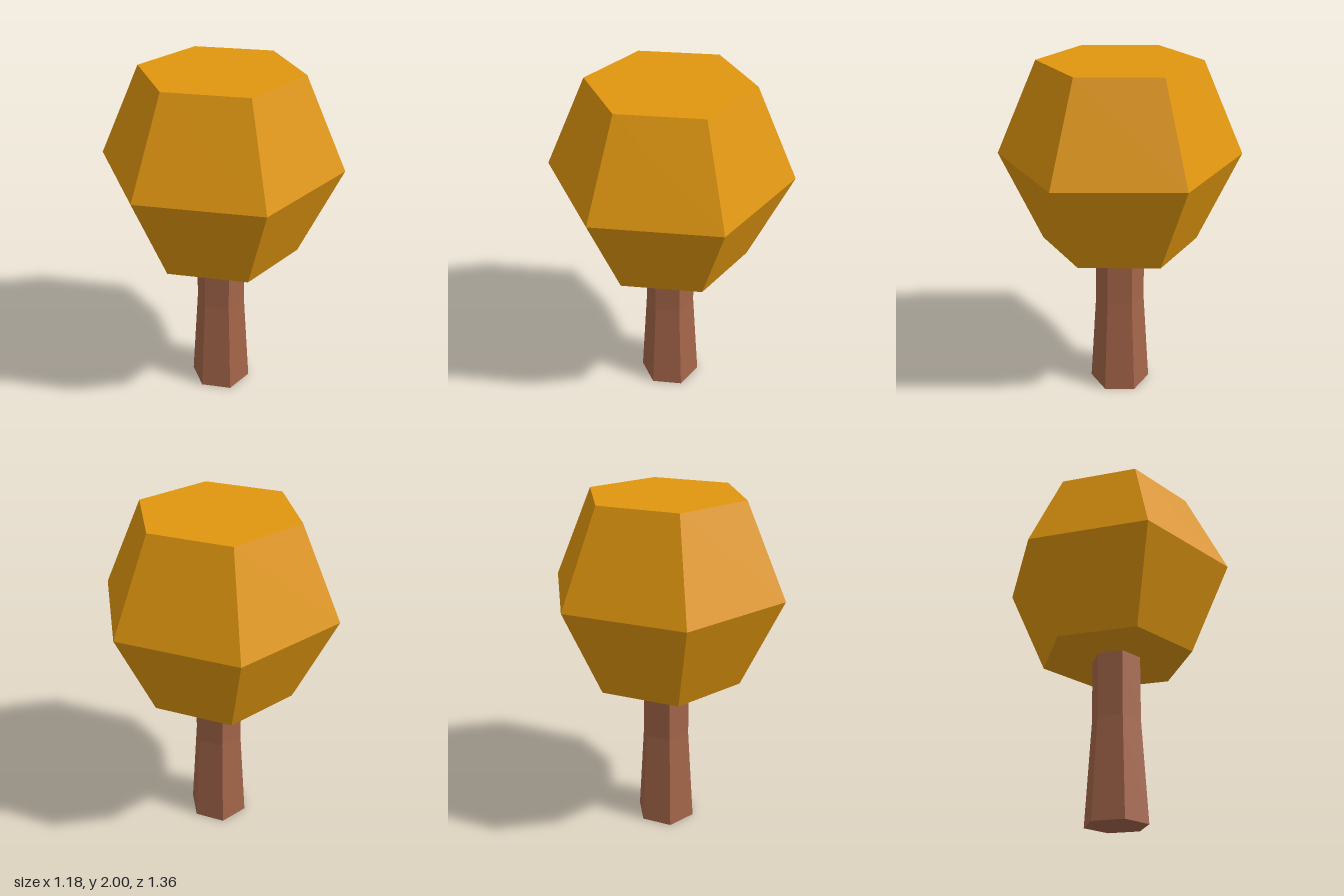
import * as THREE from 'three';

const SIDES = 6;

// Faceted solid of revolution from [radius, y] pairs, listed bottom to top
function facetedPart(name, profile, color) {
  const points = profile.map(([r, y]) => new THREE.Vector2(r, y));
  const material = new THREE.MeshStandardMaterial({ color, flatShading: true });
  const mesh = new THREE.Mesh(new THREE.LatheGeometry(points, SIDES), material);
  mesh.name = name;
  return mesh;
}

export function createModel() {
  const tree = new THREE.Group();
  tree.name = 'tree';

  // Trunk: flared foot, straight upper half
  tree.add(facetedPart('trunk', [[0, 0], [0.18, 0], [0.143, 0.58], [0.143, 0.965], [0, 0.965]], 0xa5664a));

  // Crown: two mirrored hexagonal frustums with flat top and bottom
  tree.add(facetedPart('crown', [[0, 0.963], [0.447, 0.963], [0.68, 1.482], [0.447, 2], [0, 2]], 0xe0960f));

  return tree;
}
